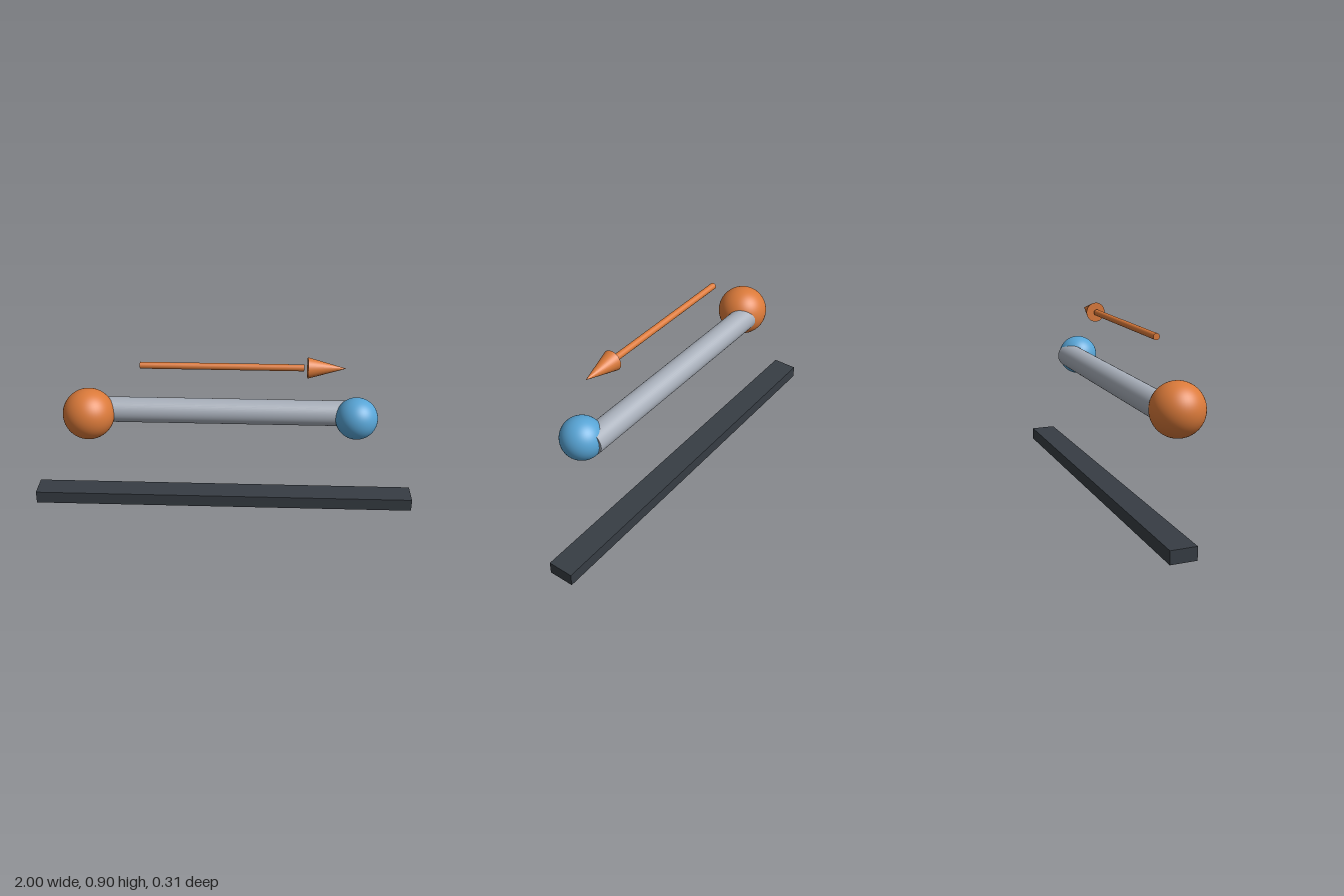
import * as THREE from 'three';

const material = (name, color) => {
  const m = new THREE.MeshStandardMaterial({ color });
  m.name = name;
  return m;
};

export function createModel() {
  const group = new THREE.Group();
  group.name = 'linkWithArrow';

  const orange = material('orange', 0xdb7a3a);
  const blue = material('blue', 0x58a5d6);
  const steel = material('steel grey', 0xa8afba);
  const charcoal = material('charcoal', 0x373d44);

  const add = (name, geometry, mat, x, y, z) => {
    const mesh = new THREE.Mesh(geometry, mat);
    mesh.name = name;
    mesh.position.set(x, y, z);
    group.add(mesh);
  };
  // Cylinder lying along x, tapering towards +x
  const rod = (rEnd, rStart, length, sides) =>
    new THREE.CylinderGeometry(rEnd, rStart, length, sides).rotateZ(-Math.PI / 2);

  // Base rail, set towards the back
  add('baseRail', new THREE.BoxGeometry(2, 0.065, 0.129), charcoal, 0, 0.0325, -0.09);

  // Bar, with a ball at each end
  add('bar', rod(0.064, 0.064, 1.34, 48), steel, 0, 0.573, -0.027);
  add('rightBall', new THREE.SphereGeometry(0.129, 48, 32), orange, -0.67, 0.573, 0.026);
  add('leftBall', new THREE.SphereGeometry(0.105, 48, 32), blue, 0.668, 0.573, 0.026);

  // Direction arrow above the bar, with a small gap before its head
  add('arrowShaft', rod(0.0165, 0.0165, 0.794, 24), orange, -0.001, 0.851, 0.042);
  add('arrowHead', rod(0, 0.0515, 0.186, 32), orange, 0.506, 0.851, 0.042);

  return group;
}
